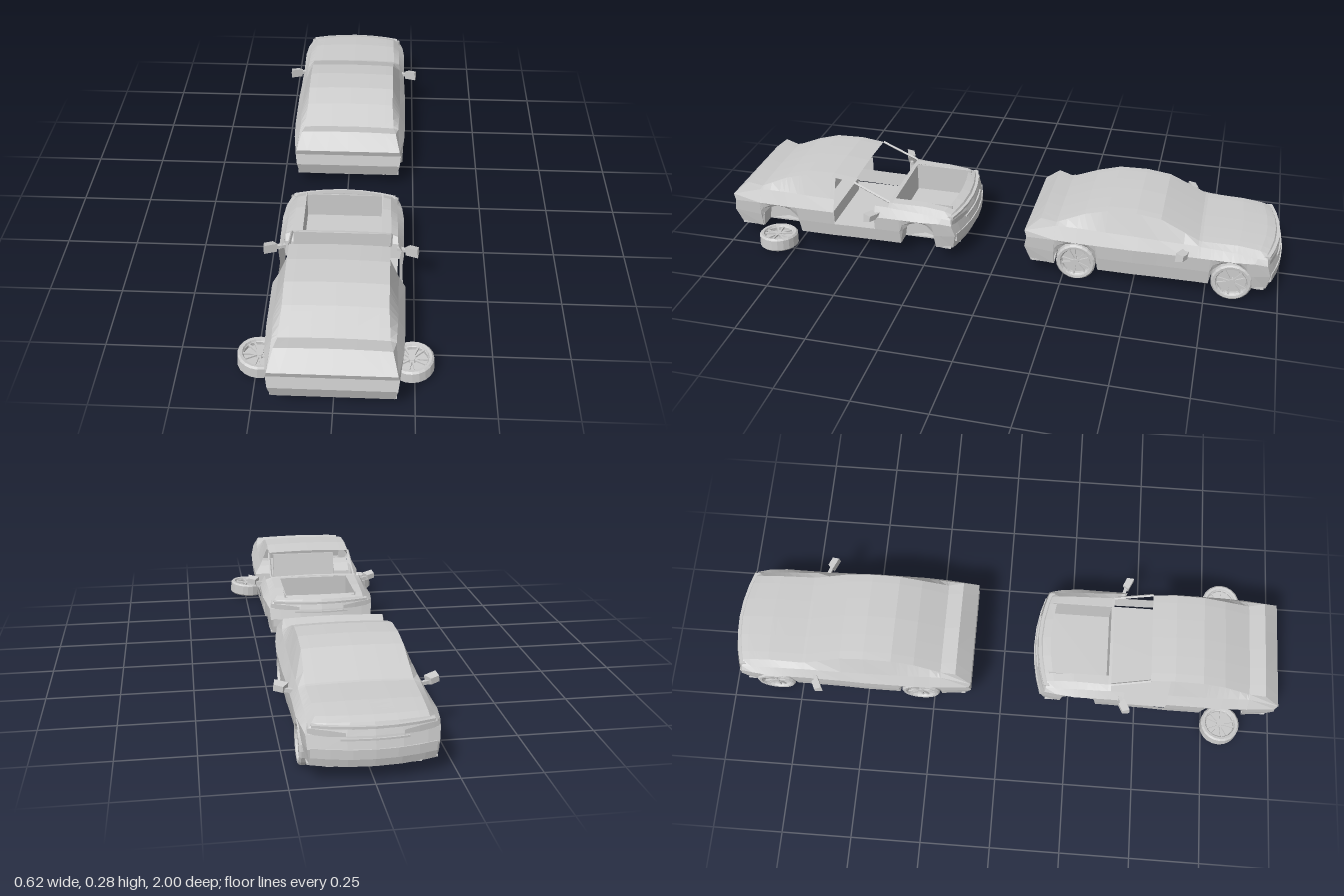
import * as THREE from 'three';

const mat = new THREE.MeshStandardMaterial({ color: 0xcccccc, flatShading: true, side: THREE.DoubleSide });
const ARCHES = [-0.282, 0.258], ARCH_R = 0.078, WHEEL_Y = 0.07;

function add(parent, name, geo, x = 0, y = 0, z = 0) {
  const m = new THREE.Mesh(geo, mat);
  m.name = name;
  m.position.set(x, y, z);
  parent.add(m);
  return m;
}

// Grid of points [row][column] to flat quads, keeping the cells that pass the test
function sheet(p, keep = () => true) {
  const out = [];
  for (let s = 0; s + 1 < p.length; s++)
    for (let i = 0; i + 1 < p[s].length; i++) {
      if (!keep(s, i)) continue;
      const [a, b, c, d] = [p[s][i], p[s][i + 1], p[s + 1][i + 1], p[s + 1][i]];
      out.push(...a, ...b, ...c, ...a, ...c, ...d);
    }
  const g = new THREE.BufferGeometry();
  g.setAttribute('position', new THREE.Float32BufferAttribute(out, 3));
  g.computeVertexNormals();
  return g;
}

// Body stations, nose to tail: z, shoulder y, top y, shoulder x, top x, widest x
const KEYS = [
  [-0.415, 0.165, 0.178, 0.187, 0.165, 0.197],
  [-0.385, 0.168, 0.187, 0.187, 0.165, 0.205],
  [-0.3, 0.178, 0.196, 0.188, 0.165, 0.212],
  [-0.169, 0.188, 0.197, 0.19, 0.168, 0.211],
  [-0.159, 0.19, 0.199, 0.19, 0.168, 0.211],
  [-0.025, 0.195, 0.262, 0.193, 0.164, 0.213],
  [0.06, 0.198, 0.273, 0.193, 0.164, 0.216],
  [0.16, 0.2, 0.27, 0.193, 0.164, 0.216],
  [0.24, 0.203, 0.247, 0.192, 0.164, 0.216],
  [0.335, 0.2, 0.205, 0.188, 0.17, 0.212],
  [0.39, 0.17, 0.218, 0.195, 0.178, 0.2],
];
const NOSE_Z = [-0.43, -0.443, -0.432, -0.425, -0.415];
const TAIL_Z = [0.425, 0.445, 0.437, 0.445, 0.39];

function station(z) {
  let k = 0;
  while (k < KEYS.length - 2 && z > KEYS[k + 1][0]) k++;
  const t = (z - KEYS[k][0]) / (KEYS[k + 1][0] - KEYS[k][0]);
  return KEYS[k].map((v, i) => v + (KEYS[k + 1][i] - v) * t);
}
// The nose sweeps back toward its corners
const bow = (x, z) => z + 0.037 * THREE.MathUtils.clamp((-0.25 - z) / 0.165, 0, 1) * (x / 0.2) ** 2;

function archY(z) {
  for (const c of ARCHES) {
    const d = Math.abs(z - c);
    if (d < ARCH_R * 0.99) return WHEEL_Y + Math.sqrt(ARCH_R ** 2 - d * d);
  }
  return 0.05;
}
const archZs = c => [-1, -0.87, -0.5, 0, 0.5, 0.87, 1].map(f => c + f * ARCH_R);

// Full ring of 15 points, from the left sill over the top to the right sill
function ring(z) {
  const [, yb, yt, x3, x4, x2] = station(z), y0 = archY(z);
  const ends = z <= -0.415 ? NOSE_Z : z >= 0.39 ? TAIL_Z : null;
  const half = [
    [x2 - 0.012, y0], [x2 - 0.004, ends ? 0.105 : Math.max(0.085, (y0 + 0.155) / 2)],
    [x2, ends ? 0.147 : 0.155], [x3, yb], [x4, yt], [0.135, yt + 0.002], [0.07, yt + 0.004], [0, yt + 0.005],
  ].map(([x, y], i) => [x, y, bow(x, ends ? ends[Math.min(i, 4)] : z)]);
  return [...half, ...half.slice(0, 7).reverse().map(([x, y, zz]) => [-x, y, zz])];
}

// End panel joining matching left and right rows of an end ring
function cap(z) {
  const r = ring(z), ends = z < 0 ? NOSE_Z : TAIL_Z;
  return sheet([0, 1, 2, 3, 4].map(k => k === 4 ? r.slice(4, 11)
    : [1, 0.8, 0.42, 0, -0.42, -0.8, -1].map(f => {
      const x = r[k][0] * f;
      return [x, r[k][1], bow(x, ends[k])];
    })));
}

// Wheel with its axle along y and the spoked face on +y
function wheel() {
  const g = new THREE.Group();
  g.name = 'wheel';
  const tyre = [[0.052, 0.018], [0.055, 0.024], [0.064, 0.025], [0.07, 0.019], [0.07, -0.019],
    [0.064, -0.025], [0.054, -0.025], [0.05, -0.018], [0.05, 0.016], [0.052, 0.018]];
  add(g, 'tyre', new THREE.LatheGeometry(tyre.map(([x, y]) => new THREE.Vector2(x, y)), 20));
  add(g, 'rimBack', new THREE.CylinderGeometry(0.05, 0.05, 0.004, 20), 0, 0.002, 0);
  add(g, 'hub', new THREE.CylinderGeometry(0.011, 0.013, 0.026, 10), 0, 0.007, 0);
  for (let i = 0; i < 10; i++) {
    const a = i * Math.PI / 5 + (i % 2 ? 0.1 : -0.1);
    const s = add(g, 'spoke', new THREE.BoxGeometry(0.046, 0.006, 0.006), Math.cos(a) * 0.03, 0.015, -Math.sin(a) * 0.03);
    s.rotation.y = a;
  }
  return g;
}

// Bar following the curve of the nose
function noseBar(halfW, z, h, depth) {
  const xs = [-1, -0.7, -0.35, 0, 0.35, 0.7, 1].map(f => f * halfW);
  const front = xs.map(x => new THREE.Vector2(x, -bow(x, z)));
  const back = xs.map(x => new THREE.Vector2(x, -bow(x, z) - depth)).reverse();
  const g = new THREE.ExtrudeGeometry(new THREE.Shape([...front, ...back]), { depth: h, bevelEnabled: false });
  return g.rotateX(-Math.PI / 2);
}

// Parts on one side, built for the left and mirrored for the right
function sideParts(wrecked) {
  const g = new THREE.Group();
  for (const c of ARCHES) {
    const r = archZs(c).map(z => ring(z)[0]);
    add(g, 'wheelWell', sheet(r.map(([x, y, z]) => [[0.14, y, z], [x, y, z]])));
    const wall = new THREE.CircleGeometry(ARCH_R, 16, -0.25, Math.PI + 0.5).rotateY(Math.PI / 2);
    add(g, 'wheelWellWall', wall, 0.14, WHEEL_Y, c);
  }
  for (const [a, b] of [[-0.392, -0.36], [-0.204, 0.18], [0.336, 0.422]])
    add(g, 'sideFloor', new THREE.BoxGeometry(0.055, 0.006, b - a), 0.1655, 0.051, (a + b) / 2);

  // Door mirror, swept back and tapering outward
  const geo = new THREE.BoxGeometry(0.046, 0.034, 0.03);
  const p = geo.attributes.position;
  for (let i = 0; i < p.count; i++)
    if (p.getZ(i) < 0) p.setXYZ(i, p.getX(i) * 0.7, p.getY(i) * 0.6, p.getZ(i) * 0.7);
  const m = add(g, 'mirrorHousing', geo, 0.242, 0.173, -0.112);
  m.rotation.set(0, -0.45, 0.12);
  const arm = add(g, 'mirrorArm', new THREE.BoxGeometry(0.04, 0.012, 0.012), 0.208, 0.166, -0.122);
  arm.rotation.y = -0.3;

  // Headlight wraps the nose corner
  add(g, 'headlight', sheet([[0.085, 0.146, 0.158], [0.13, 0.145, 0.164], [0.175, 0.148, 0.167], [0.192, 0.152, 0.166]]
    .map(([x, lo, hi]) => [lo, hi].map(y => [x, y, bow(x, -0.434)]))));
  if (wrecked) {
    const a = ring(-0.159)[4], b = ring(-0.025)[4];
    const path = new THREE.LineCurve3(new THREE.Vector3(...a), new THREE.Vector3(...b));
    add(g, 'windshieldPillar', new THREE.TubeGeometry(path, 1, 0.005, 4));
  }
  return g;
}

function car(wrecked) {
  const g = new THREE.Group();
  const zs = [...new Set([...KEYS.map(k => k[0]), -0.11, 0.045, ...ARCHES.flatMap(archZs)])].sort((a, b) => a - b);
  const rings = zs.map(ring);
  const cell = (s, i) => ({ z: (zs[s] + zs[s + 1]) / 2, h: i < 7 ? i : 13 - i });
  const isGlass = (z, h) => (h === 3 && z > -0.159 && z < 0.24) || (h > 3 && ((z > -0.159 && z < -0.025) || (z > 0.16 && z < 0.335)));
  const isGone = (z, h) => wrecked && (
    (h >= 5 && z > -0.385 && z < -0.169) ||           // hood
    (h >= 4 && z > -0.159 && z < -0.025) ||           // windshield
    (h === 3 && z > -0.159 && z < 0.045) ||           // front side windows
    (h >= 1 && h < 3 && z > -0.11 && z < 0.045));     // front doors
  add(g, 'bodyShell', sheet(rings, (s, i) => { const { z, h } = cell(s, i); return !isGlass(z, h) && !isGone(z, h); }));
  add(g, 'windows', sheet(rings, (s, i) => { const { z, h } = cell(s, i); return isGlass(z, h) && !isGone(z, h); }));
  add(g, 'nosePanel', cap(-0.415));
  add(g, 'tailPanel', cap(0.39));
  add(g, 'floor', new THREE.BoxGeometry(0.28, 0.006, 0.836), 0, 0.051, 0.005);

  // Bumper, grille bar and hood lip
  add(g, 'frontBumper', noseBar(0.185, -0.445, 0.03, 0.02), 0, 0.08, 0);
  add(g, 'grilleBar', noseBar(0.1, -0.438, 0.006, 0.015), 0, 0.135, 0);
  add(g, 'hoodLip', noseBar(0.18, -0.43, 0.008, 0.02), 0, 0.167, 0);

  const left = sideParts(wrecked), right = sideParts(wrecked);
  left.name = 'leftParts';
  right.name = 'rightParts';
  right.scale.x = -1;
  g.add(left, right);

  if (wrecked) {
    // Open engine bay and stripped cabin
    add(g, 'bayFloor', new THREE.BoxGeometry(0.27, 0.004, 0.216), 0, 0.09, -0.277);
    for (const s of [-1, 1])
      add(g, 'baySide', new THREE.BoxGeometry(0.004, 0.106, 0.216), s * 0.135, 0.143, -0.277);
    add(g, 'bayFront', new THREE.BoxGeometry(0.27, 0.094, 0.004), 0, 0.138, -0.385);
    add(g, 'firewall', new THREE.BoxGeometry(0.33, 0.14, 0.004), 0, 0.125, -0.167);
    add(g, 'rearSeat', new THREE.BoxGeometry(0.26, 0.05, 0.07), 0, 0.08, 0.115);
    add(g, 'rearSeatBack', new THREE.BoxGeometry(0.26, 0.12, 0.03), 0, 0.14, 0.16).rotation.x = 0.2;
  }

  // Fitted wheels, or two lying flat beside the tail
  for (const s of [-1, 1])
    for (const c of wrecked ? [0.258] : ARCHES) {
      const w = wheel();
      if (wrecked) {
        w.position.set(s * 0.241, 0.033, c);
        w.rotation.z = s * 0.08;
      } else {
        w.position.set(s * 0.184, WHEEL_Y, c);
        w.rotation.z = -s * Math.PI / 2;
      }
      g.add(w);
    }
  return g;
}

export function createModel() {
  const model = new THREE.Group();
  model.name = 'twoCars';
  const intact = car(false), wreck = car(true);
  intact.name = 'intactCar';
  intact.position.z = -0.555;
  wreck.name = 'strippedCar';
  wreck.position.z = 0.555;
  model.add(intact, wreck);
  return model;
}
